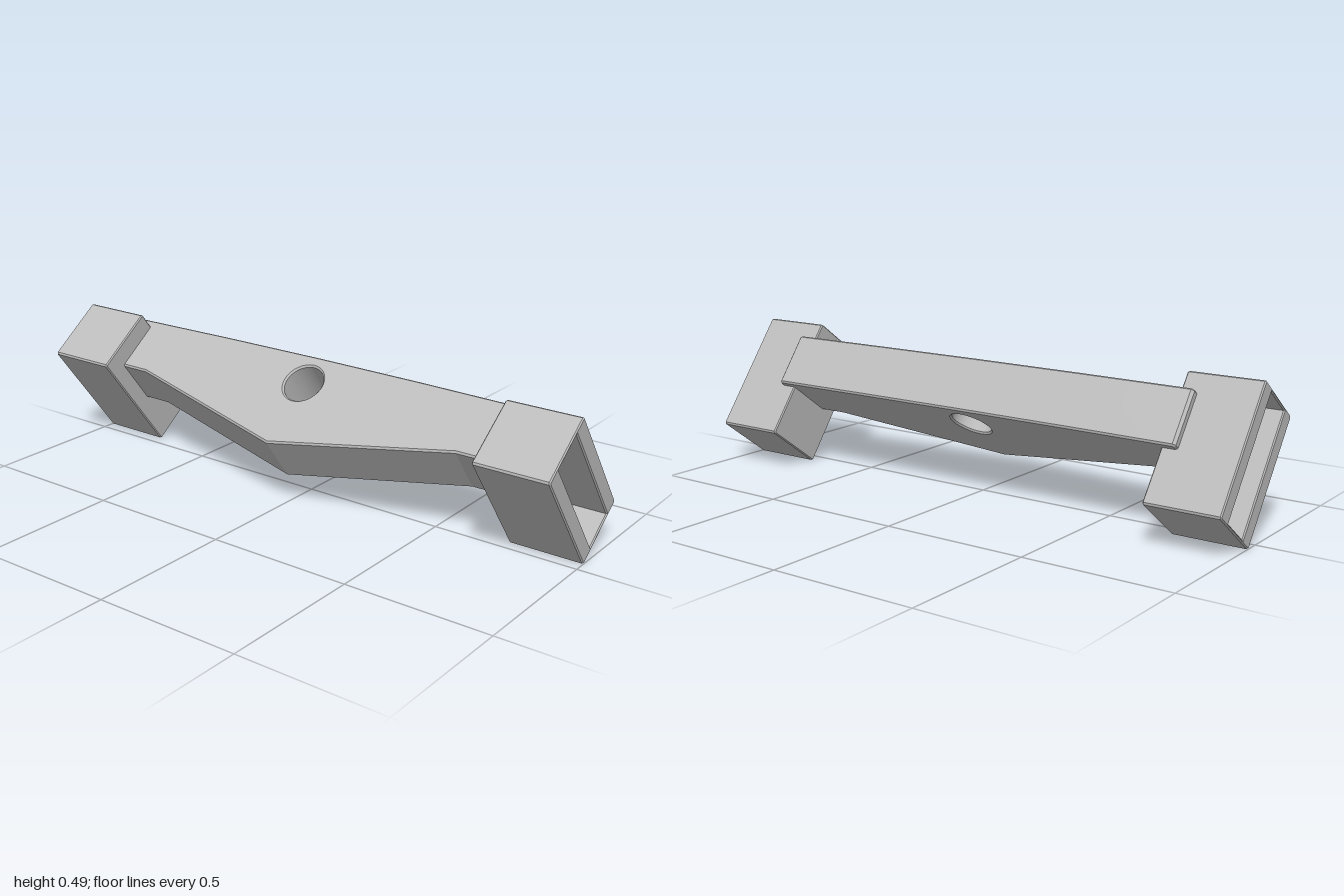
import * as THREE from 'three';
import { toCreasedNormals } from 'three/addons/utils/BufferGeometryUtils.js';

const grey = new THREE.MeshStandardMaterial({ color: 0xbcbcbc });
grey.name = 'plain grey';

// Extrude a shape along z from 0 to length, with small chamfers kept inside the outline
function chamferedExtrude(shape, length, chamfer) {
  return new THREE.ExtrudeGeometry(shape, {
    depth: length - 2 * chamfer, curveSegments: 24,
    bevelEnabled: true, bevelSegments: 1,
    bevelThickness: chamfer, bevelSize: chamfer, bevelOffset: -chamfer,
  }).translate(0, 0, chamfer);
}

function makeMesh(name, geometry) {
  const mesh = new THREE.Mesh(toCreasedNormals(geometry, 0.2), grey);
  mesh.name = name;
  return mesh;
}

const points = (list) => list.map(([x, y]) => new THREE.Vector2(x, y));

// Cross bar: outline seen along the bore, swelling to a point at the front
function makeBar() {
  const half = [
    [0, -0.203], [0.64, -0.062], [0.76, -0.062], [0.76, 0.115], [0.8, 0.115],
    [0.8, 0.14], [0.791, 0.148], [0.4, 0.153],
  ];
  const mirrored = half.slice(1).reverse().map(([x, y]) => [-x, y]);
  const shape = new THREE.Shape(points([...half, [0, 0.155], ...mirrored]));
  const bore = new THREE.Path();
  bore.absarc(0, 0.045, 0.07, 0, Math.PI * 2, true);
  shape.holes.push(bore);
  const geometry = chamferedExtrude(shape, 0.192, 0.006);
  geometry.rotateX(-Math.PI / 2).translate(0, -0.038, 0);
  return makeMesh('crossBar', geometry);
}

// Rectangle with clipped corners for the end blocks
function blockOutline() {
  const w = 0.121, h = 0.222, c = 0.006;
  return new THREE.Shape(points([
    [-w + c, -h], [w - c, -h], [w, -h + c], [w, h - c],
    [w - c, h], [-w + c, h], [-w, h - c], [-w, -h + c],
  ]));
}

// End block: solid base plus walls round a deep socket open to the outside
function makeEndBlock(name) {
  const block = new THREE.Group();
  block.name = name;
  const base = chamferedExtrude(blockOutline(), 0.055, 0.004);
  base.rotateY(Math.PI / 2).translate(0.745, 0, 0);
  block.add(makeMesh('blockBase', base));

  const ring = blockOutline();
  const w = 0.063, h = 0.212;
  ring.holes.push(new THREE.Path(points([[-w, -h], [-w, h], [w, h], [w, -h]])));
  const walls = chamferedExtrude(ring, 0.208, 0.004);
  walls.rotateY(Math.PI / 2).translate(0.792, 0, 0);
  block.add(makeMesh('socketWalls', walls));
  return block;
}

export function createModel() {
  const model = new THREE.Group();
  model.name = 'bracket';

  // The whole part leans forward about the x axis
  const tilted = new THREE.Group();
  tilted.name = 'tiltedBracket';
  tilted.rotation.x = 0.64;
  tilted.position.set(0, 0.252, -0.01);
  tilted.add(makeBar());

  const leftBlock = makeEndBlock('leftEndBlock');
  const rightBlock = makeEndBlock('rightEndBlock');
  rightBlock.rotation.y = Math.PI;
  tilted.add(leftBlock, rightBlock);

  model.add(tilted);
  return model;
}
